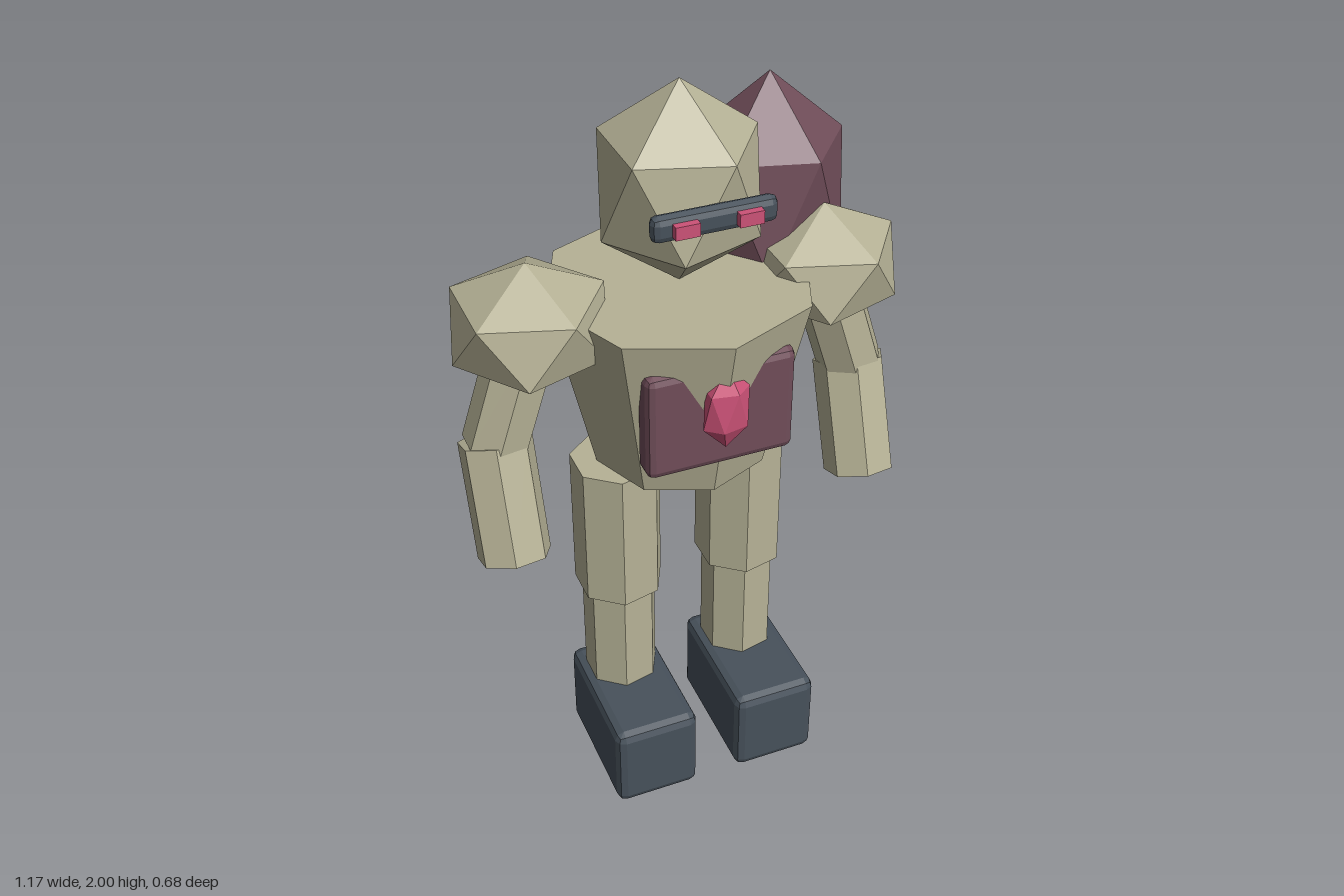
import * as THREE from 'three';
import { RoundedBoxGeometry } from 'three/addons/geometries/RoundedBoxGeometry.js';
import { ConvexGeometry } from 'three/addons/geometries/ConvexGeometry.js';

const material = (name, color) => {
  const m = new THREE.MeshStandardMaterial({ color });
  m.name = name;
  return m;
};

export function createModel() {
  const stone = material('stone', 0xb6b296);
  const slate = material('slate', 0x47515b);
  const plum = material('plum', 0x704d59);
  const pink = material('pink', 0xcc5277);

  const model = new THREE.Group();
  model.name = 'robot';

  // Adds a mesh with flat facets
  function add(name, geometry, mat, position) {
    const flat = geometry.index ? geometry.toNonIndexed() : geometry;
    flat.computeVertexNormals();
    const mesh = new THREE.Mesh(flat, mat);
    mesh.name = name;
    mesh.position.set(...position);
    model.add(mesh);
    return mesh;
  }

  // Stretched icosahedron with one corner straight up and an upper ring corner on +x
  function gem(name, mat, position, [rx, ry, rz]) {
    const h = 1 / Math.sqrt(5), r = 2 * h;
    const points = [new THREE.Vector3(0, ry, 0), new THREE.Vector3(0, -ry, 0)];
    for (let i = 0; i < 10; i++) {
      const a = i * Math.PI / 5;
      points.push(new THREE.Vector3(
        r * rx * Math.cos(a), (i % 2 ? -h : h) * ry, r * rz * Math.sin(a)));
    }
    return add(name, new ConvexGeometry(points), mat, position);
  }

  // Seven-sided limb running from the top point to the bottom point
  function limb(name, top, bottom, radius) {
    const a = new THREE.Vector3(...top), b = new THREE.Vector3(...bottom);
    const axis = a.clone().sub(b);
    const middle = a.add(b).multiplyScalar(0.5);
    const geometry = new THREE.CylinderGeometry(
      radius, radius, axis.length(), 7, 1, false, Math.PI / 2);
    const mesh = add(name, geometry, stone, middle.toArray());
    mesh.quaternion.setFromUnitVectors(new THREE.Vector3(0, 1, 0), axis.normalize());
  }

  // Box with a single chamfer along every edge
  const chamferBox = (name, mat, position, size, bevel) =>
    add(name, new RoundedBoxGeometry(...size, 1, bevel), mat, position);

  // Body and head
  add('torso', new THREE.CylinderGeometry(0.342, 0.23, 0.49, 8), stone, [0, 1.235, 0]);
  gem('head', stone, [0, 1.738, 0], [0.222, 0.262, 0.222]);

  // Visor with two eyes
  chamferBox('visor', slate, [0, 1.747, 0.205], [0.31, 0.065, 0.04], 0.018);
  for (const s of [-1, 1]) {
    add(s > 0 ? 'leftEye' : 'rightEye', new THREE.BoxGeometry(0.06, 0.033, 0.03),
      pink, [s * 0.078, 1.747, 0.229]);
  }

  // Chest plate and crystal
  chamferBox('chestPlate', plum, [0, 1.247, 0.236], [0.385, 0.29, 0.078], 0.02);
  gem('chestCrystal', pink, [0, 1.285, 0.295], [0.066, 0.115, 0.039]);

  // Large crystal behind the left shoulder
  gem('backCrystal', plum, [0.297, 1.58, -0.148], [0.23, 0.33, 0.197]);

  // Arms and legs
  for (const s of [-1, 1]) {
    const side = s > 0 ? 'left' : 'right';
    gem(side + 'Shoulder', stone, [s * 0.387, 1.443, 0], [0.216, 0.164, 0.213]);
    limb(side + 'UpperArm', [s * 0.385, 1.44, 0], [s * 0.49, 1.115, 0], 0.087);
    limb(side + 'Forearm', [s * 0.49, 1.125, -0.008], [s * 0.49, 0.83, 0.095], 0.096);
    limb(side + 'Thigh', [s * 0.177, 0.988, 0], [s * 0.177, 0.577, 0], 0.121);
    limb(side + 'Shin', [s * 0.177, 0.6, 0], [s * 0.177, 0.2, 0], 0.102);
    chamferBox(side + 'Foot', slate, [s * 0.177, 0.129, 0.09], [0.237, 0.258, 0.39], 0.025);
  }

  return model;
}
